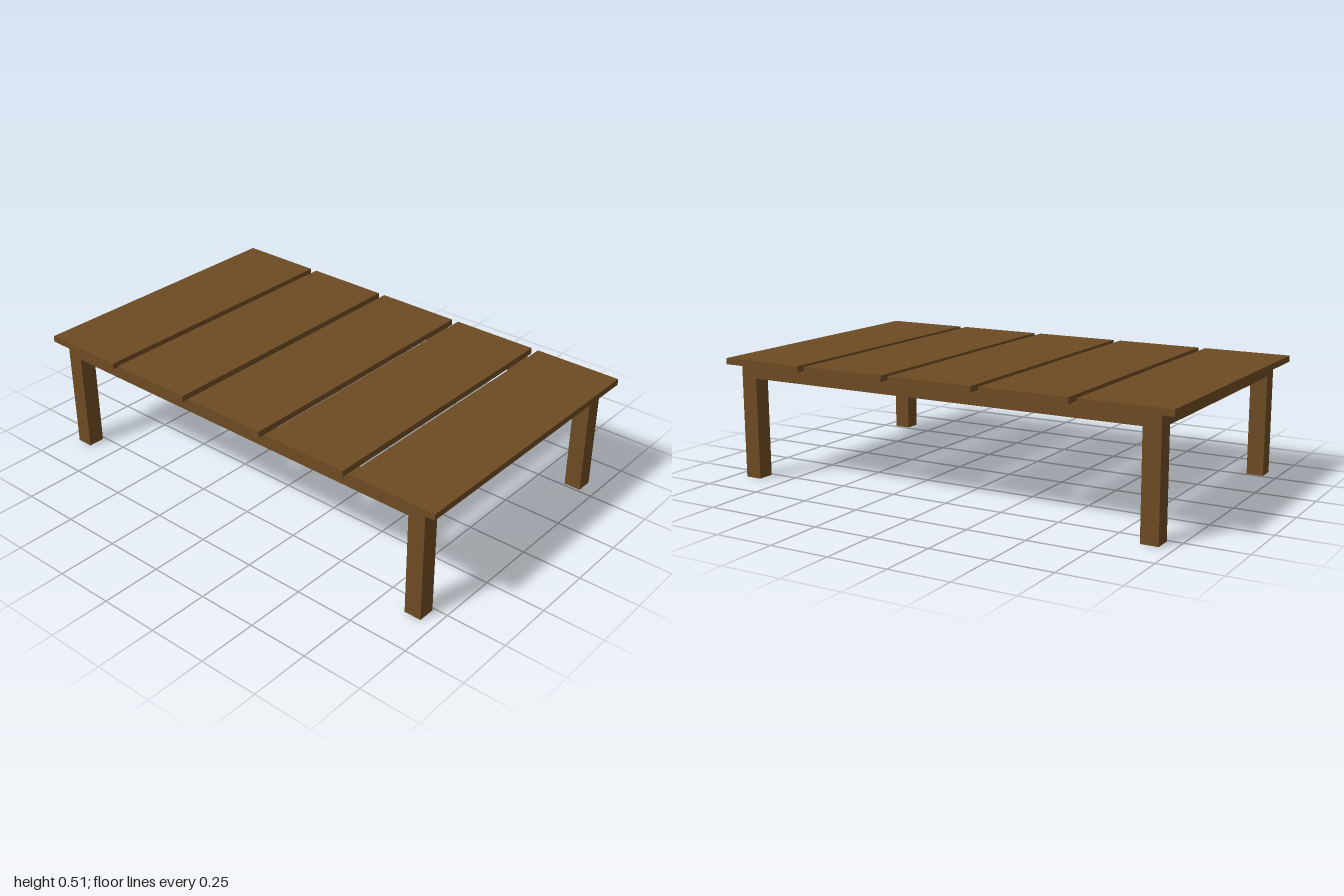
import * as THREE from 'three';

export function createModel() {
  const table = new THREE.Group();
  table.name = 'slattedTable';
  const wood = new THREE.MeshStandardMaterial({ color: 0x6d4b23 });
  wood.name = 'brown wood';

  // Box placed by its centre in x and z and by its bottom and top in y
  const addBoard = (name, width, depth, bottom, top, x, z) => {
    const board = new THREE.Mesh(new THREE.BoxGeometry(width, top - bottom, depth), wood);
    board.name = name;
    board.position.set(x, (bottom + top) / 2, z);
    table.add(board);
  };

  const post = 0.072;                  // square section of the legs, also the rail thickness
  const legX = 0.905, legZ = 0.548;    // leg centres
  const frameTop = 0.477, railBottom = 0.427;

  // Five top slats with open gaps, resting just above the frame
  const slatWidth = 0.375, pitch = (2 - slatWidth) / 4;
  for (let i = 0; i < 5; i++) {
    addBoard('topSlat', slatWidth, 1.224, 0.48, 0.506, (i - 2) * pitch, 0);
  }

  // Legs and the rails joining them
  for (const side of [-1, 1]) {
    for (const end of [-1, 1]) {
      addBoard('leg', post, post, 0, frameTop, side * legX, end * legZ);
    }
    addBoard('longRail', 2 * legX - post, post, railBottom, frameTop, 0, side * legZ);
    addBoard('shortRail', post, 2 * legZ - post, railBottom, frameTop, side * legX, 0);
  }

  return table;
}
